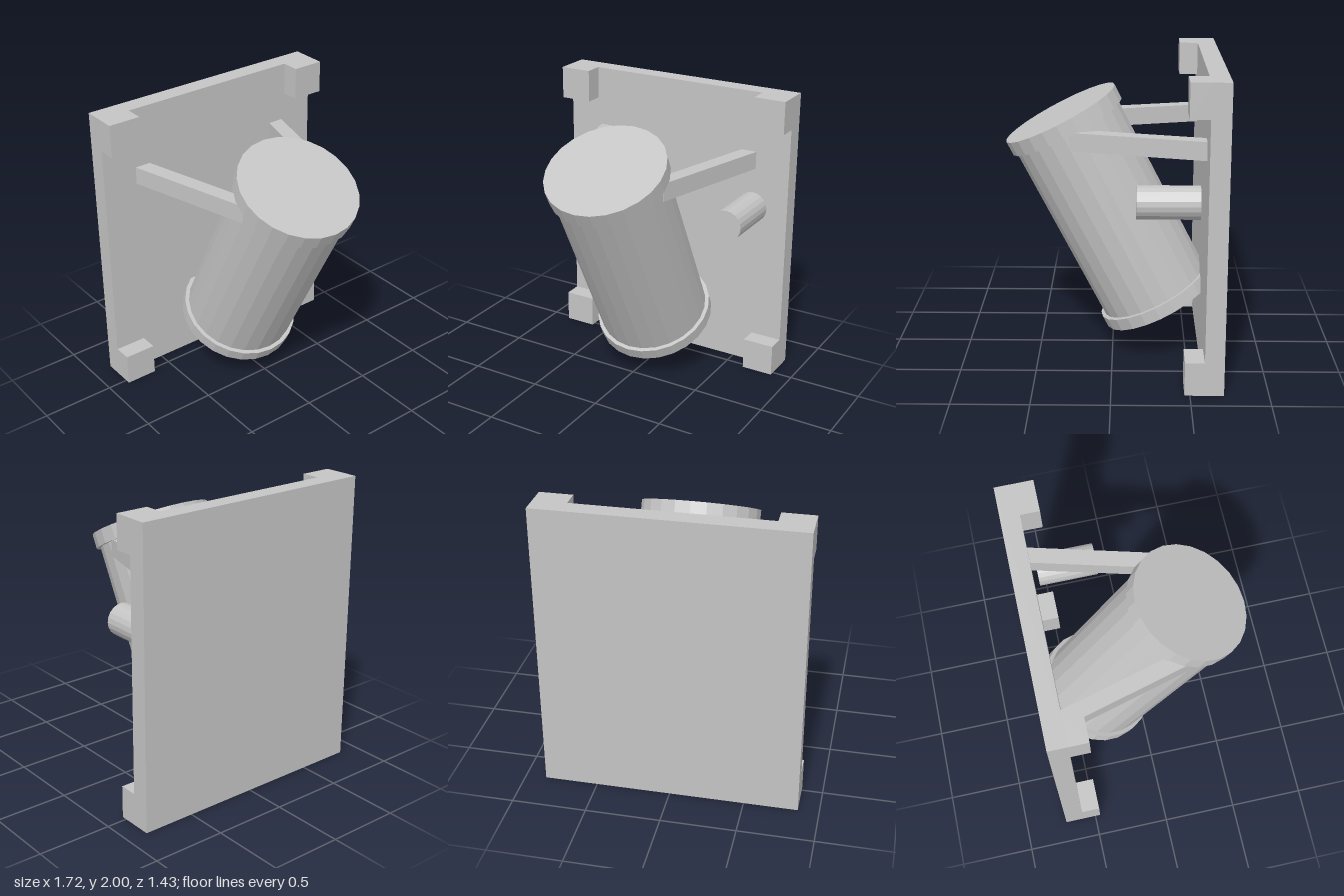
import * as THREE from 'three';

export function createModel() {
  const model = new THREE.Group();
  model.name = 'wallMountedCanister';
  const grey = new THREE.MeshStandardMaterial({ color: 0xc4c4c4, flatShading: true });
  grey.name = 'light grey';

  const add = (name, geometry, x, y, z, parent = model) => {
    const mesh = new THREE.Mesh(geometry, grey);
    mesh.name = name;
    mesh.position.set(x, y, z);
    parent.add(mesh);
    return mesh;
  };

  // Upright back plate with a block on each front corner
  const plateFront = -0.59;
  add('backPlate', new THREE.BoxGeometry(1.72, 2, 0.125), 0, 1, plateFront - 0.0625);
  for (const x of [-0.75, 0.75]) {
    for (const y of [0.111, 1.889]) {
      add('cornerBlock', new THREE.BoxGeometry(0.22, 0.222, 0.125), x, y, plateFront + 0.0625);
    }
  }

  // Tilted canister: its origin is the centre of the bottom face
  const canister = new THREE.Group();
  canister.name = 'canister';
  canister.position.set(0, 0.33, -0.322);
  canister.rotation.x = 0.475;
  model.add(canister);
  const length = 1.468, bottom = 0.085, top = 0.1;
  const disc = (r, h) => new THREE.CylinderGeometry(r, r, h, 24);
  add('bottomCap', disc(0.407, bottom), 0, bottom / 2, 0, canister);
  add('body', disc(0.38, length - bottom - top), 0, (length + bottom - top) / 2, 0, canister);
  add('topCap', disc(0.407, top), 0, length - top / 2, 0, canister);

  // Struts converging from the plate into the canister sides
  for (const side of [-1, 1]) {
    const outline = new THREE.Shape([
      [0.615, plateFront], [0.505, plateFront], [0.275, 0.27], [0.383, 0.27],
    ].map(([x, z]) => new THREE.Vector2(side * x, z)));
    const strut = new THREE.ExtrudeGeometry(outline, { depth: 0.12, bevelEnabled: false });
    strut.rotateX(Math.PI / 2);
    add(side > 0 ? 'leftStrut' : 'rightStrut', strut, 0, 1.585, 0);
  }

  // Separate peg standing just clear of the plate
  const peg = new THREE.CylinderGeometry(0.107, 0.107, 0.4, 20).rotateX(Math.PI / 2);
  add('peg', peg, 0.617, 1.2, -0.355);

  return model;
}
